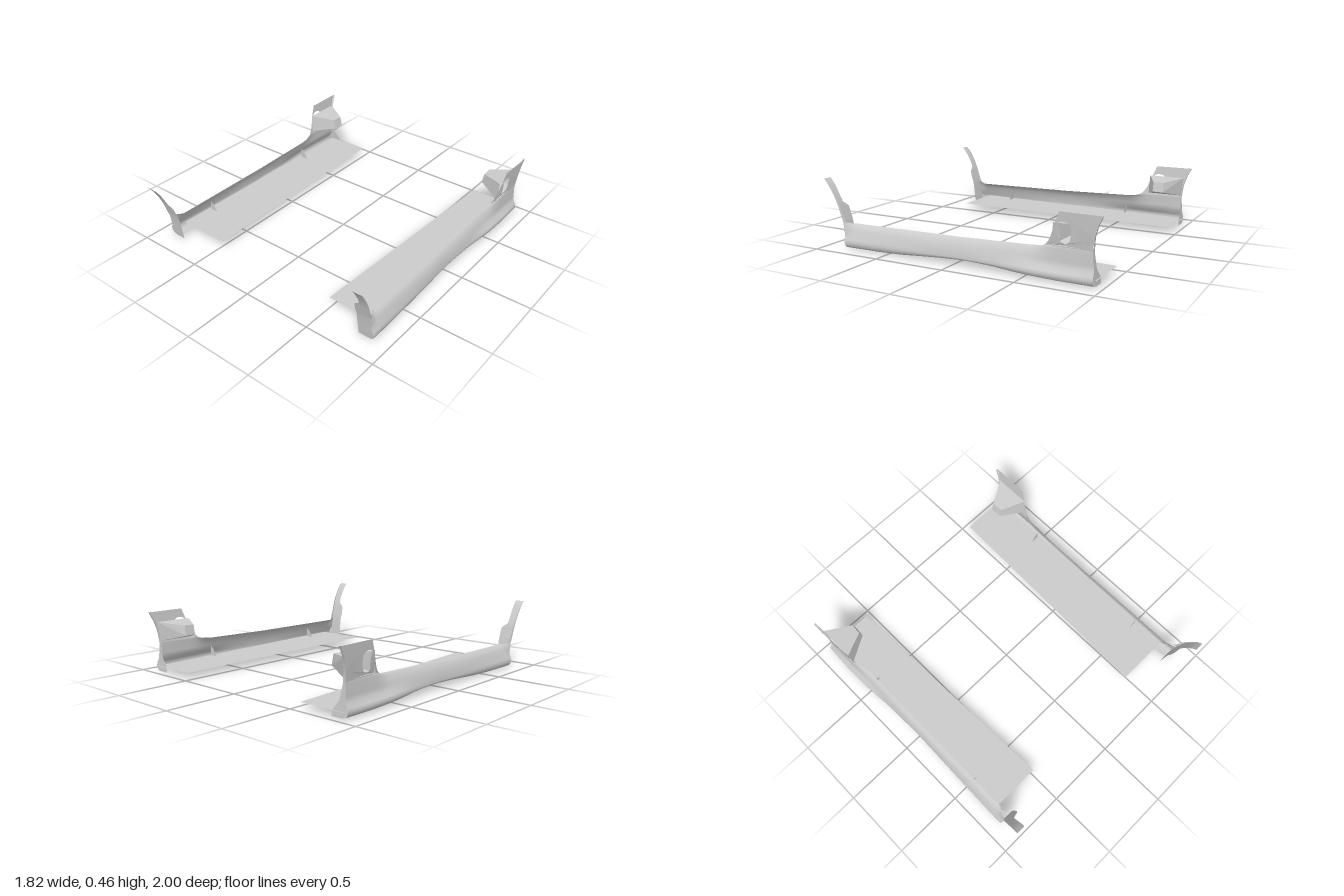
import * as THREE from 'three';

const material = new THREE.MeshStandardMaterial({ color: 0xcccccc, side: THREE.DoubleSide });

// Straight-line lookup in a short table of [key, value] rows, keys ascending
function lookup(table, k) {
  if (k <= table[0][0]) return table[0][1];
  for (let i = 1; i < table.length; i++) {
    const [k0, v0] = table[i - 1], [k1, v1] = table[i];
    if (k <= k1) return v0 + (v1 - v0) * (k - k0) / (k1 - k0);
  }
  return table[table.length - 1][1];
}

// Smooth sheet through rows of points
function sheet(name, rows) {
  const n = rows[0].length, index = [];
  for (let i = 0; i < rows.length - 1; i++) {
    for (let j = 0; j < n - 1; j++) {
      const a = i * n + j, b = a + 1, c = a + n, d = c + 1;
      index.push(a, b, c, b, d, c);
    }
  }
  const g = new THREE.BufferGeometry();
  g.setAttribute('position', new THREE.Float32BufferAttribute(rows.flat(2), 3));
  g.setIndex(index);
  g.computeVertexNormals();
  return named(name, g);
}

function named(name, geometry) {
  const mesh = new THREE.Mesh(geometry, material);
  mesh.name = name;
  return mesh;
}

// Flat-shaded quads, each from four corners
function facets(name, quads) {
  const pos = quads.flatMap(([a, b, c, d]) => [a, b, c, a, c, d]).flat();
  const g = new THREE.BufferGeometry();
  g.setAttribute('position', new THREE.Float32BufferAttribute(pos, 3));
  g.computeVertexNormals();
  return named(name, g);
}

// Sill dimensions along z
const topX = z => lookup([[-0.95, 0.875], [-0.7, 0.868], [-0.55, 0.828], [0.78, 0.828], [0.84, 0.872]], z);
const topY = z => lookup([[-0.95, 0.21], [-0.64, 0.21], [-0.6, 0.195], [-0.52, 0.187], [0, 0.172], [0.8, 0.163], [0.84, 0.175]], z);
const lipX = z => lookup([[-0.95, 0.9], [-0.75, 0.908], [-0.55, 0.907], [-0.3, 0.887], [0, 0.88], [0.4, 0.889], [0.84, 0.898]], z);
const baseY = z => lookup([[-0.95, 0.003], [-0.7, 0.007], [-0.45, 0.015], [-0.25, 0.028], [-0.1, 0.033], [0.1, 0.025], [0.4, 0.005], [0.6, 0]], z);

function sill() {
  const rows = [];
  for (let i = 0; i <= 60; i++) {
    const z = 0.84 - 1.79 * i / 60;
    const tx = topX(z), ty = topY(z), w = lipX(z), b = baseY(z);
    const waist = Math.min(0.877, w - 0.006);
    const section = [
      [tx, ty], [tx + (waist - tx) * 0.45, ty - 0.014], [tx + (waist - tx) * 0.8, 0.125],
      [waist, 0.09], [w - 0.004, 0.062 + b * 0.3], [w, 0.042 + b * 0.3],
      [w - 0.003, 0.022 + b * 0.6], [w - 0.014, 0.008 + b * 0.9], [w - 0.035, b], [0.825, b],
    ];
    // End edges lean with the wheel openings
    const lean = i === 0 ? 0.14 : i === 60 ? 0.07 : 0;
    rows.push(section.map(([x, y]) => [x, y, z + lean * y]));
  }
  return sheet('sillSkin', rows);
}

// Upright panel behind the door opening, with the air inlet cut out
function rearPanel() {
  const s = new THREE.Shape();
  s.moveTo(0.6, 0.195);
  s.quadraticCurveTo(0.645, 0.21, 0.675, 0.285);
  s.quadraticCurveTo(0.7, 0.345, 0.73, 0.422);
  s.lineTo(1, 0.422);
  s.quadraticCurveTo(0.94, 0.32, 0.935, 0.2);
  s.lineTo(0.64, 0.2);
  const hole = new THREE.Path();
  hole.moveTo(0.715, 0.35);
  hole.quadraticCurveTo(0.73, 0.365, 0.76, 0.362);
  hole.quadraticCurveTo(0.8, 0.36, 0.802, 0.325);
  hole.quadraticCurveTo(0.805, 0.25, 0.775, 0.235);
  hole.quadraticCurveTo(0.74, 0.225, 0.725, 0.25);
  hole.quadraticCurveTo(0.745, 0.3, 0.715, 0.35);
  s.holes.push(hole);
  const g = new THREE.ShapeGeometry(s, 10);
  const p = g.attributes.position;
  for (let i = 0; i < p.count; i++) {
    const z = -p.getX(i), y = p.getY(i);
    p.setXYZ(i, topX(z) + 0.1 * Math.max(0, y - 0.2), y, z);
  }
  g.computeVertexNormals();
  return named('rearPanel', g);
}

// Tapered duct behind the inlet, closed at its inner end
function inletDuct() {
  const outer = [[0.872, 0.35, -0.685], [0.872, 0.35, -0.945], [0.872, 0.215, -0.93], [0.868, 0.215, -0.675]];
  const inner = [[0.705, 0.332, -0.765], [0.7, 0.332, -0.845], [0.685, 0.262, -0.845], [0.69, 0.262, -0.765]];
  const quads = outer.map((o, i) => {
    const j = (i + 1) % 4;
    return [o, outer[j], inner[j], inner[i]];
  });
  return facets('inletDuct', [...quads, inner]);
}

// Curved front fin: rows of y, z, inner x, outer x, depth of the side skin
function frontFin() {
  const curve = [
    [0.462, 1, 0.832, 0.895, 0.004], [0.435, 0.975, 0.832, 0.895, 0.008], [0.4, 0.952, 0.832, 0.893, 0.01],
    [0.35, 0.925, 0.832, 0.89, 0.012], [0.305, 0.905, 0.828, 0.887, 0.014], [0.27, 0.893, 0.785, 0.885, 0.016],
    [0.22, 0.88, 0.78, 0.882, 0.02], [0.175, 0.865, 0.78, 0.879, 0.03],
  ];
  const lower = [[0.09, 0.853, 0.78, 0.879], [0.045, 0.847, 0.78, 0.897], [0.02, 0.843, 0.78, 0.894], [0.002, 0.84, 0.78, 0.865]];
  const group = new THREE.Group();
  group.name = 'frontFin';
  group.add(sheet('frontFlange', [...curve, ...lower].map(([y, z, xi, xo]) => [[xi, y, z], [xo, y, z]])));
  group.add(sheet('frontFinSide', curve.map(([y, z, , xo, d]) => [[xo, y, z], [xo - d * 0.2, y - d * 0.4, z - d]])));
  return group;
}

// Turned-in edge at the rear wheel opening
function rearFlange() {
  const curve = [
    [0.422, -1, 0.897, 0.014], [0.36, -0.968, 0.891, 0.016], [0.29, -0.946, 0.884, 0.018], [0.2, -0.936, 0.875, 0.022],
    [0.1, -0.943, 0.877, 0.045], [0.05, -0.946, 0.898, 0.11], [0.02, -0.949, 0.894, 0.112], [0.003, -0.95, 0.86, 0.08],
  ];
  return sheet('rearFlange', curve.map(([y, z, x, d]) => [[x, y, z], [x - d, y, z]]));
}

function side(name) {
  const group = new THREE.Group();
  group.name = name;
  group.add(sill(), rearPanel(), inletDuct(), frontFin(), rearFlange());
  group.add(facets('floorPlate', [[[0.48, 0.057, 0.75], [0.87, 0.057, 0.75], [0.87, 0.04, -0.955], [0.54, 0.04, -0.955]]]));
  // Small gussets between the plate and the sill
  for (const z of [0.51, -0.51]) {
    group.add(facets('gusset', [[[0.785, 0.05, z], [0.85, 0.05, z], [0.845, 0.125, z], [0.815, 0.1, z]]]));
  }
  return group;
}

export function createModel() {
  const model = new THREE.Group();
  model.name = 'sideSkirts';
  const left = side('leftSkirt'), right = side('rightSkirt');
  right.scale.x = -1;
  model.add(left, right);
  return model;
}
